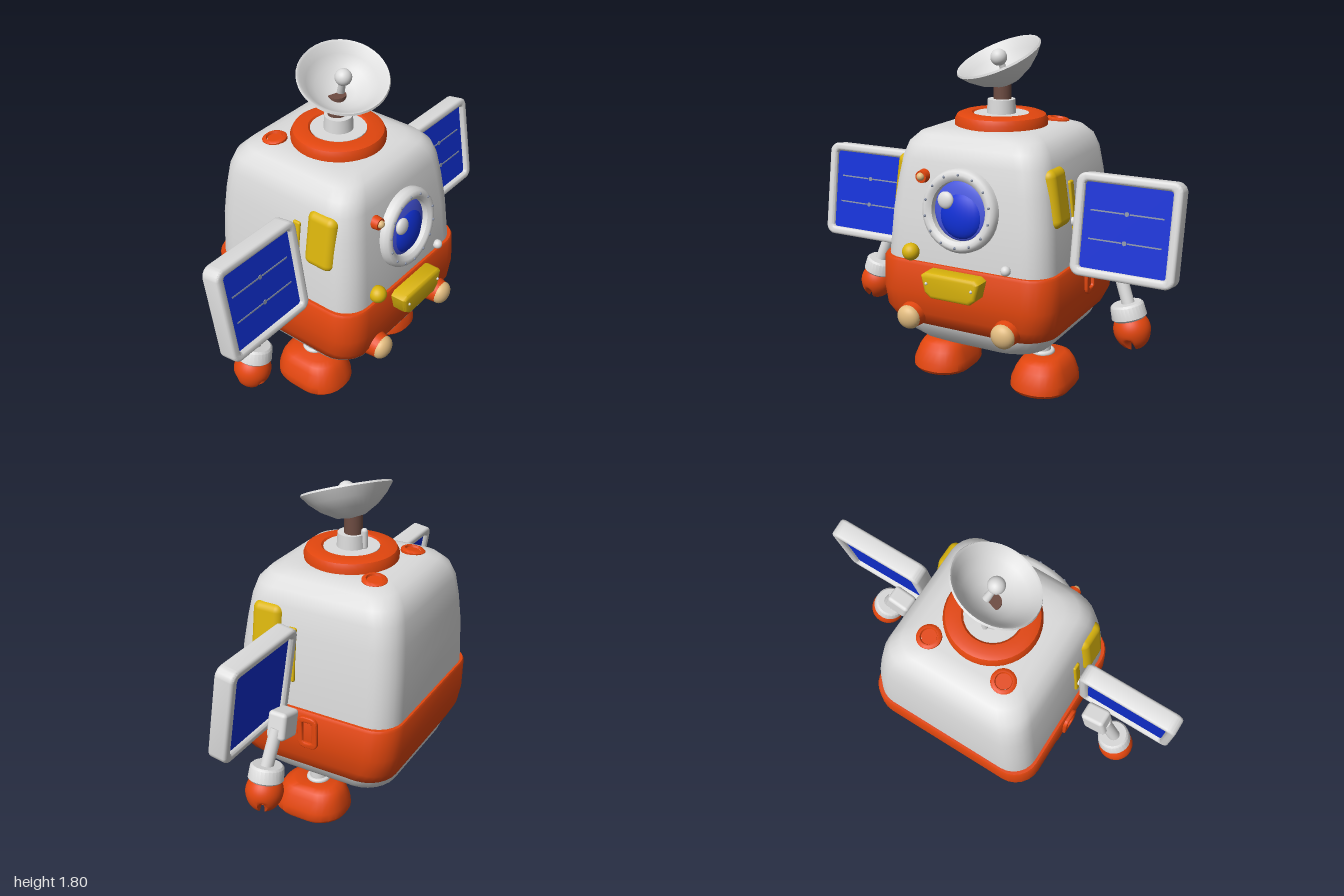
import * as THREE from 'three';
import { toCreasedNormals } from 'three/addons/utils/BufferGeometryUtils.js';
import { RoundedBoxGeometry } from 'three/addons/geometries/RoundedBoxGeometry.js';

const mat = (name, color) => {
  const m = new THREE.MeshStandardMaterial({ color });
  m.name = name;
  return m;
};

// Stack of rounded rectangles, each [y, halfWidth, zFront, zBack, cornerRadius]
function loft(rings, cx = 0, crease = 0.7) {
  const pos = [], idx = [], per = 7, n = per * 4;
  for (const [y, hx, zf, zb, r] of rings) {
    const hz = (zf - zb) / 2, cz = (zf + zb) / 2, q = Math.min(r, hx, hz);
    for (let c = 0; c < 4; c++) for (let k = 0; k < per; k++) {
      const a = (c + k / (per - 1)) * Math.PI / 2;
      const sx = c === 0 || c === 3 ? 1 : -1, sz = c < 2 ? 1 : -1;
      pos.push(cx + sx * (hx - q) + q * Math.cos(a), y, cz + sz * (hz - q) + q * Math.sin(a));
    }
  }
  for (let i = 0; i < rings.length - 1; i++) for (let j = 0; j < n; j++) {
    const a = i * n + j, b = i * n + (j + 1) % n;
    idx.push(a, a + n, b, b, a + n, b + n);
  }
  const top = (rings.length - 1) * n;
  for (let j = 1; j < n - 1; j++) idx.push(0, j, j + 1, top, top + j + 1, top + j);
  const g = new THREE.BufferGeometry();
  g.setAttribute('position', new THREE.Float32BufferAttribute(pos, 3));
  g.setIndex(idx);
  return toCreasedNormals(g, crease);
}

function roundRect(w, h, r, T = THREE.Shape) {
  const s = new T(), x = w / 2, y = h / 2;
  s.absarc(x - r, y - r, r, 0, Math.PI / 2);
  s.absarc(-x + r, y - r, r, Math.PI / 2, Math.PI);
  s.absarc(-x + r, -y + r, r, Math.PI, Math.PI * 1.5);
  s.absarc(x - r, -y + r, r, Math.PI * 1.5, Math.PI * 2);
  s.closePath();
  return s;
}

const extrude = (shape, depth, bevel) => toCreasedNormals(new THREE.ExtrudeGeometry(shape, {
  depth, bevelThickness: bevel, bevelSize: bevel, bevelSegments: 3, curveSegments: 6,
}).translate(0, 0, -depth / 2), 0.7);
const lathe = (pts, seg = 40) => toCreasedNormals(
  new THREE.LatheGeometry(pts.map(p => new THREE.Vector2(...p)), seg), 0.7);
const cyl = (r1, r2, h) => new THREE.CylinderGeometry(r1, r2, h, 24);
const ball = r => new THREE.SphereGeometry(r, 24, 16);

export function createModel() {
  const white = mat('white shell', 0xdcdcdc), orange = mat('orange', 0xe2460e);
  const yellow = mat('yellow', 0xdab40c), blue = mat('blue', 0x1030d6);
  const paleBlue = mat('pale blue glass', 0x4454dc), tan = mat('tan lamp', 0xe2bc80);
  const dark = mat('dark sole', 0x382b27), brown = mat('brown stem', 0x6e4c42);
  const grey = mat('grey detail', 0x8a93a8);
  const root = new THREE.Group();
  const add = (name, geo, material, p = [0, 0, 0], r = [0, 0, 0], parent = root) => {
    const m = new THREE.Mesh(geo, material);
    m.name = name;
    m.position.set(...p);
    m.rotation.set(...r);
    parent.add(m);
    return m;
  };
  const group = (name, p, r = [0, 0, 0]) => {
    const g = new THREE.Group();
    g.name = name;
    g.position.set(...p);
    g.rotation.set(...r);
    root.add(g);
    return g;
  };

  // Body shell and belt
  add('body', loft([
    [0.22, 0.22, 0.17, -0.28, 0.14], [0.235, 0.29, 0.24, -0.34, 0.15], [0.27, 0.36, 0.3, -0.4, 0.16],
    [0.32, 0.41, 0.35, -0.43, 0.16], [0.38, 0.435, 0.375, -0.45, 0.15], [0.55, 0.465, 0.4, -0.49, 0.14],
    [0.72, 0.462, 0.405, -0.497, 0.13], [0.95, 0.445, 0.385, -0.495, 0.13], [1.1, 0.425, 0.365, -0.485, 0.13],
    [1.22, 0.405, 0.345, -0.47, 0.13], [1.29, 0.38, 0.325, -0.445, 0.13], [1.335, 0.335, 0.285, -0.4, 0.12],
    [1.355, 0.28, 0.23, -0.345, 0.11], [1.36, 0.23, 0.18, -0.3, 0.1]]), white);
  add('belt', loft([
    [0.37, 0.43, 0.37, -0.44, 0.15], [0.385, 0.455, 0.388, -0.458, 0.15], [0.45, 0.48, 0.42, -0.49, 0.14],
    [0.55, 0.49, 0.43, -0.508, 0.14], [0.705, 0.485, 0.425, -0.514, 0.14], [0.718, 0.476, 0.418, -0.508, 0.13],
    [0.719, 0.44, 0.38, -0.47, 0.12]]), orange);

  // Roof collar, pedestal and buttons
  const zc = -0.035;
  add('roofCollar', lathe([[0.235, 1.34], [0.237, 1.385], [0.225, 1.41], [0.2, 1.42], [0.15, 1.42], [0.135, 1.405]]),
    orange, [0, 0, zc]);
  add('collarPlate', cyl(0.14, 0.14, 0.06), white, [0, 1.385, zc]);
  add('pedestal', cyl(0.07, 0.076, 0.1), white, [0, 1.435, zc]);
  add('pedestalPipe', new THREE.CapsuleGeometry(0.017, 0.08, 4, 10), white, [0, 1.46, -0.105]);
  add('dishStem', cyl(0.046, 0.046, 0.12), brown, [0, 1.53, -0.045]);
  for (const s of [-1, 1])
    add('roofButton', lathe([[0.062, -0.03], [0.062, 0.012], [0.052, 0.02], [0.042, 0.02], [0.038, 0.01], [0, 0.01]], 24),
      orange, [s * 0.205, 1.352, -0.27], [-0.1, 0, -s * 0.1]);

  // Dish antenna
  const dish = group('dish', [0, 1.695, -0.005], [0.35, 0, 0.25]);
  add('dishBowl', lathe([[0, -0.14], [0.07, -0.13], [0.14, -0.09], [0.19, -0.045], [0.225, 0], [0.22, 0.01],
    [0.208, 0.004], [0.175, -0.04], [0.13, -0.075], [0.07, -0.108], [0, -0.118]]), white, undefined, undefined, dish);
  add('dishFeed', cyl(0.014, 0.02, 0.12), white, [0, -0.06, 0], undefined, dish);
  add('dishBall', ball(0.042), white, undefined, undefined, dish);

  // Porthole
  const port = group('porthole', [0, 1, 0.37], [-0.11, 0, 0]);
  add('portholeRing', lathe([[0.205, -0.05], [0.205, 0.03], [0.195, 0.05], [0.18, 0.058], [0.163, 0.055],
    [0.148, 0.042], [0.146, 0]]).rotateX(Math.PI / 2), white, undefined, undefined, port);
  add('glass', ball(0.149).scale(1, 1, 0.2), paleBlue, [0, 0, 0.008], undefined, port);
  add('glassCentre', ball(0.12).scale(1, 1, 0.4), blue, [0.005, -0.02, 0.008], undefined, port);
  add('glint', ball(0.043).scale(1, 1, 0.5), white, [-0.068, 0.048, 0.045], undefined, port);
  for (let i = 0; i < 14; i++) {
    const a = (i + 0.5) / 14 * Math.PI * 2;
    add('rivet', new THREE.SphereGeometry(0.007, 8, 6), grey,
      [0.178 * Math.cos(a), 0.178 * Math.sin(a), 0.057], undefined, port);
  }

  // Front knobs and plate
  add('signalBase', cyl(0.03, 0.036, 0.05), orange, [-0.22, 1.145, 0.365], [Math.PI / 2, 0, 0]);
  add('signalLamp', ball(0.02), tan, [-0.22, 1.147, 0.39]);
  add('yellowKnob', ball(0.044), yellow, [-0.268, 0.765, 0.42]);
  add('whiteKnob', ball(0.025), white, [0.26, 0.747, 0.415]);
  const plate = new THREE.Shape([[-0.1, -0.045], [0.1, -0.045], [0.125, -0.025], [0.14, 0.04], [0.13, 0.047],
    [-0.13, 0.047], [-0.14, 0.04], [-0.125, -0.025]].map(p => new THREE.Vector2(...p)));
  add('frontPlate', extrude(plate, 0.07, 0.02), yellow, [0, 0.637, 0.455]);
  for (const s of [-1, 1]) add('plateScrew', new THREE.SphereGeometry(0.008, 8, 6), white, [s * 0.125, 0.65, 0.511]);

  for (const s of [-1, 1]) {
    // Headlamp
    const lamp = group('headlamp', [s * 0.267, 0.435, 0.41], [0.12, 0, 0]);
    add('lampHousing', cyl(0.062, 0.078, 0.1).rotateX(Math.PI / 2), orange, [0, 0, -0.005], undefined, lamp);
    add('lampLens', ball(0.063).scale(1, 1, 0.7), tan, [0, 0, 0.045], undefined, lamp);

    // Side pod, mounting strip, axle and hatch
    add('sidePod', new RoundedBoxGeometry(0.085, 0.29, 0.165, 5, 0.04), yellow, [s * 0.41, 1.075, 0.195], [0, 0, s * 0.15]);
    add('mountStrip', new RoundedBoxGeometry(0.03, 0.28, 0.045, 2, 0.01), yellow, [s * 0.435, 0.99, 0.05], [0, 0, s * 0.12]);
    add('panelAxle', cyl(0.025, 0.025, 0.1), white, [s * 0.465, 0.93, 0.06], [0, 0, Math.PI / 2]);
    const hatch = roundRect(0.1, 0.165, 0.03);
    hatch.holes.push(roundRect(0.065, 0.13, 0.02, THREE.Path));
    add('sideHatch', extrude(hatch, 0.025, 0.006), orange, [s * 0.486, 0.612, -0.065], [0, s * Math.PI / 2, 0]);

    // Solar panel, cells on both faces
    const panel = group('solarPanel', [s * 0.735, 0.93, 0.073], [-0.16, 0, 0]);
    const frame = roundRect(0.5, 0.475, 0.035);
    frame.holes.push(roundRect(0.468, 0.45, 0.03, THREE.Path));
    add('panelFrame', extrude(frame, 0.07, 0.015), white, undefined, undefined, panel);
    add('panelCells', new THREE.BoxGeometry(0.465, 0.445, 0.056), blue, undefined, undefined, panel);
    for (const y of [0.075, -0.065]) {
      for (const e of [-1, 1])
        add('cellLine', new THREE.BoxGeometry(0.17, 0.007, 0.004), grey, [e * 0.1, y, 0.029], undefined, panel);
      add('cellDot', new THREE.CylinderGeometry(0.012, 0.012, 0.004, 8), grey, [0, y, 0.029], [Math.PI / 2, 0, 0], panel);
    }

    // Arm with cuff and clawed hand
    add('shoulderBlock', new RoundedBoxGeometry(0.13, 0.14, 0.1, 3, 0.02), white, [s * 0.62, 0.72, -0.005], [0, 0, s * 0.25]);
    const arm = group('arm', [s * 0.735, 0.5, 0.02], [0, 0, s * 0.26]);
    add('forearm', cyl(0.032, 0.032, 0.24), white, [0, 0.11, -0.01], [-0.1, 0, s * 0.1], arm);
    add('cuff', lathe([[0, -0.04], [0.078, -0.04], [0.088, -0.03], [0.083, 0.03], [0.073, 0.04], [0, 0.04]], 28),
      white, undefined, undefined, arm);
    // Three notches cut into the lower half of a ball make the fingers
    const hand = new THREE.SphereGeometry(0.093, 36, 24), hp = hand.attributes.position;
    for (let i = 0; i < hp.count; i++) {
      const x = hp.getX(i), y = hp.getY(i), z = hp.getZ(i);
      if (y > -0.03) continue;
      const low = (-y - 0.03) / 0.063, rad = Math.hypot(x, z);
      const notch = rad < 0.03 ? 1 : Math.max(0, Math.cos(3 * Math.atan2(z, x) + Math.PI / 2) - 0.5) * 2;
      hp.setY(i, y + low * (notch * 0.055 - 0.012));
    }
    add('hand', toCreasedNormals(hand, 0.6), orange, [0, -0.095, 0], undefined, arm);

    // Leg and boot
    add('leg', cyl(0.045, 0.05, 0.14), white, [s * 0.265, 0.215, 0.01]);
    add('ankleRing', new THREE.TorusGeometry(0.05, 0.014, 8, 24), white, [s * 0.27, 0.185, 0.01], [Math.PI / 2, 0, 0]);
    add('boot', loft([
      [0.012, 0.148, 0.22, -0.16, 0.14], [0.03, 0.156, 0.232, -0.17, 0.14], [0.07, 0.152, 0.225, -0.165, 0.13],
      [0.13, 0.128, 0.2, -0.15, 0.11], [0.165, 0.108, 0.175, -0.13, 0.1], [0.18, 0.08, 0.14, -0.1, 0.08]], s * 0.295), orange);
    add('sole', loft([[0, 0.13, 0.2, -0.145, 0.13], [0.014, 0.138, 0.21, -0.152, 0.13]], s * 0.295), dark);
  }
  return root;
}
